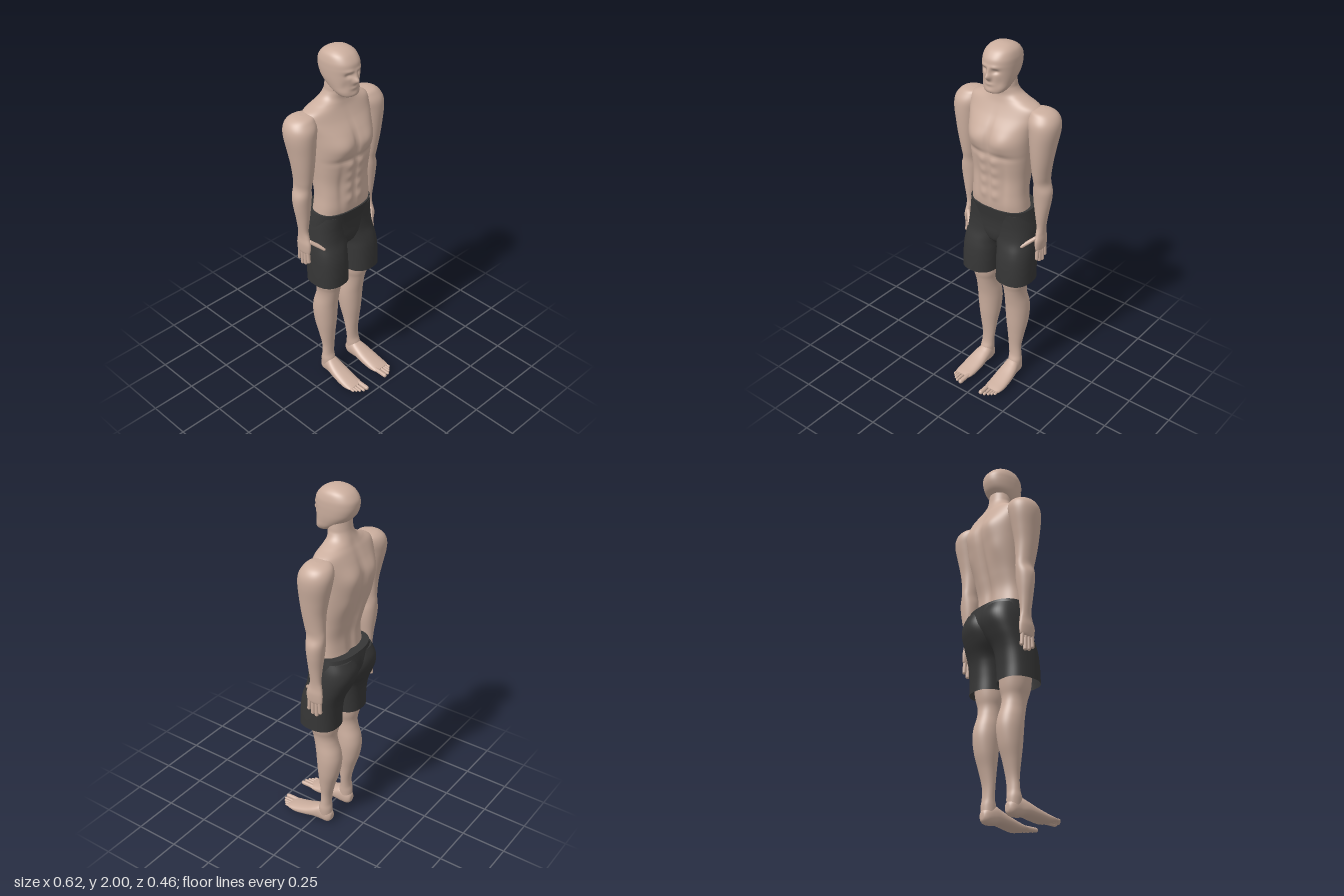
import * as THREE from 'three';

const skin = new THREE.MeshStandardMaterial({ color: 0xcbae9e });
skin.name = 'skin';
const cloth = new THREE.MeshStandardMaterial({ color: 0x363636, side: THREE.DoubleSide });
cloth.name = 'dark cloth';

const bump = (x, y, cx, cy, rx, ry) => Math.exp(-(((x - cx) / rx) ** 2) - ((y - cy) / ry) ** 2);

// smooth (Catmull-Rom) sample of a table of rows
function sample(rows, t) {
  const n = rows.length - 1, i = Math.min(Math.floor(t * n), n - 1), f = t * n - i;
  const [a, b, c, d] = [i - 1, i, i + 1, i + 2].map((k) => rows[Math.max(0, Math.min(n, k))]);
  return b.map((_, k) => b[k] + 0.5 * f * (c[k] - a[k]
    + f * (2 * a[k] - 5 * b[k] + 4 * c[k] - d[k] + f * (3 * (b[k] - c[k]) + d[k] - a[k]))));
}

// closed cross-sections stacked upward; row = [y, xMin, xMax, zFront, zBack, power]
function loft(rows, { seg = 48, steps = 6, caps = [true, true], shape } = {}) {
  const pos = [], idx = [], n = (rows.length - 1) * steps;
  for (let j = 0; j <= n; j++) {
    const [y, x0, x1, zf, zb, p] = sample(rows, j / n);
    for (let i = 0; i < seg; i++) {
      const t = (i / seg) * Math.PI * 2, s = Math.sin(t), c = Math.cos(t);
      const x = (x0 + x1) / 2 + ((x1 - x0) / 2) * Math.sign(s) * Math.abs(s) ** (2 / p);
      const z = (zf + zb) / 2 + ((zf - zb) / 2) * Math.sign(c) * Math.abs(c) ** (2 / p);
      pos.push(x, y, z + (shape ? shape(x, y, c) : 0));
      if (j < n) {
        const a = j * seg + i, b = j * seg + ((i + 1) % seg);
        idx.push(a, b, b + seg, a, b + seg, a + seg);
      }
    }
  }
  // end caps keep their own corners so their rims stay sharp
  [0, n].forEach((j, e) => {
    if (!caps[e]) return;
    const base = pos.length / 3, r = rows[e ? rows.length - 1 : 0];
    pos.push(...pos.slice(j * seg * 3, (j + 1) * seg * 3));
    pos.push((r[1] + r[2]) / 2, r[0], (r[3] + r[4]) / 2);
    for (let i = 0; i < seg; i++) {
      const a = base + i, b = base + ((i + 1) % seg);
      idx.push(base + seg, e ? a : b, e ? b : a);
    }
  });
  const g = new THREE.BufferGeometry();
  g.setAttribute('position', new THREE.Float32BufferAttribute(pos, 3));
  g.setIndex(idx);
  g.computeVertexNormals();
  return g;
}

// [y, halfWidth, zFront, zBack, power] -> symmetric row
const centred = (rows) => rows.map(([y, h, f, b, p]) => [y, -h, h, f, b, p]);
// [y, xInner, xOuter, zFront, zBack] -> row on the chosen side
const sided = (rows, s, p = 2.1) => rows.map(([y, a, b, f, k]) => (s > 0 ? [y, a, b, f, k, p] : [y, -b, -a, f, k, p]));

function mesh(name, geometry, material = skin) {
  const m = new THREE.Mesh(geometry, material);
  m.name = name;
  return m;
}

// rounded finger or toe between two points
function digit(name, a, b, r, s) {
  const p = new THREE.Vector3(a[0] * s, a[1], a[2]), q = new THREE.Vector3(b[0] * s, b[1], b[2]);
  const d = q.clone().sub(p), m = mesh(name, new THREE.CapsuleGeometry(r, d.length() - r, 6, 14));
  m.position.copy(p).add(q).multiplyScalar(0.5);
  m.quaternion.setFromUnitVectors(new THREE.Vector3(0, 1, 0), d.normalize());
  return m;
}

const TORSO = centred([
  [1.08, 0.168, 0.036, -0.16, 2.5], [1.15, 0.162, 0.046, -0.15, 2.5], [1.22, 0.156, 0.046, -0.15, 2.5],
  [1.3, 0.158, 0.046, -0.17, 2.5], [1.38, 0.167, 0.056, -0.193, 2.5], [1.46, 0.176, 0.066, -0.212, 2.5],
  [1.52, 0.182, 0.066, -0.22, 2.5], [1.58, 0.19, 0.047, -0.217, 2.5], [1.64, 0.205, 0.012, -0.195, 2.4],
  [1.685, 0.2, -0.01, -0.175, 2.3], [1.715, 0.14, -0.02, -0.16, 2.2], [1.74, 0.092, -0.024, -0.15, 2.1],
  [1.77, 0.071, -0.02, -0.14, 2], [1.8, 0.066, -0.02, -0.135, 2], [1.86, 0.06, -0.03, -0.13, 2],
]);

// chest, stomach, spine and shoulder-blade relief
function torsoRelief(x, y, c) {
  const ax = Math.abs(x);
  if (c > 0) {
    let d = 0.016 * bump(ax, y, 0.08, 1.515, 0.06, 0.055) - 0.008 * bump(ax, y, 0.07, 1.435, 0.08, 0.018);
    d -= 0.009 * bump(x, y, 0, 1.5, 0.014, 0.1) + 0.006 * bump(x, y, 0, 1.28, 0.01, 0.14);
    for (const ay of [1.2, 1.27, 1.335, 1.4]) d += 0.008 * bump(ax, y, 0.034, ay, 0.024, 0.026);
    d -= 0.006 * bump(ax, y, 0.085, 1.28, 0.018, 0.14);
    return d * Math.min(1, c * 3);
  }
  let d = 0.016 * bump(x, y, 0, 1.36, 0.025, 0.26) - 0.014 * bump(ax, y, 0.09, 1.56, 0.055, 0.07);
  d -= 0.007 * bump(ax, y, 0.045, 1.25, 0.03, 0.12) + 0.007 * bump(ax, y, 0.11, 1.43, 0.04, 0.06);
  return d * Math.min(1, -c * 3);
}

const HEAD = centred([
  [1.764, 0.028, 0.032, -0.02, 2.2], [1.77, 0.05, 0.043, -0.04, 2.3], [1.79, 0.066, 0.046, -0.075, 2.3],
  [1.82, 0.075, 0.046, -0.12, 2.3], [1.85, 0.081, 0.047, -0.152, 2.3], [1.88, 0.084, 0.048, -0.168, 2.3],
  [1.91, 0.085, 0.049, -0.174, 2.3], [1.94, 0.083, 0.044, -0.17, 2.3], [1.97, 0.073, 0.022, -0.148, 2.3],
  [1.988, 0.054, -0.005, -0.118, 2.2], [1.997, 0.03, -0.033, -0.085, 2], [2, 0.003, -0.056, -0.062, 2],
]);

// nose, brow, eye sockets, lips and chin
function faceRelief(x, y, c) {
  if (c <= 0) return 0;
  const ax = Math.abs(x);
  let d = 0.026 * bump(x, y, 0, 1.853, 0.013, 0.017) + 0.012 * bump(x, y, 0, 1.88, 0.01, 0.02);
  d -= 0.012 * bump(ax, y, 0.032, 1.882, 0.017, 0.012);
  d += 0.005 * bump(ax, y, 0.03, 1.905, 0.025, 0.01) + 0.005 * bump(x, y, 0, 1.814, 0.022, 0.009);
  d += 0.005 * bump(x, y, 0, 1.78, 0.025, 0.014) - 0.004 * bump(ax, y, 0.05, 1.825, 0.015, 0.025);
  return d * Math.min(1, c * 2);
}

const ARM = [
  [0.893, 0.226, 0.244, -0.055, -0.125], [0.905, 0.221, 0.25, -0.043, -0.135], [0.95, 0.215, 0.254, -0.04, -0.136],
  [0.99, 0.212, 0.252, -0.053, -0.13], [1.03, 0.21, 0.255, -0.062, -0.125], [1.1, 0.2, 0.266, -0.056, -0.13],
  [1.18, 0.188, 0.28, -0.05, -0.14], [1.24, 0.185, 0.283, -0.045, -0.146], [1.29, 0.189, 0.268, -0.042, -0.148],
  [1.34, 0.185, 0.272, -0.032, -0.146], [1.42, 0.178, 0.285, -0.02, -0.15], [1.5, 0.17, 0.298, -0.012, -0.165],
  [1.58, 0.16, 0.311, -0.008, -0.182], [1.63, 0.15, 0.31, -0.012, -0.186], [1.665, 0.15, 0.293, -0.03, -0.175],
  [1.685, 0.16, 0.264, -0.05, -0.15], [1.692, 0.19, 0.23, -0.085, -0.115],
];

const LEG = [
  [0.05, 0.064, 0.134, -0.02, -0.098], [0.1, 0.062, 0.138, -0.022, -0.098], [0.14, 0.061, 0.134, -0.034, -0.092],
  [0.2, 0.055, 0.132, -0.035, -0.095], [0.28, 0.047, 0.143, -0.028, -0.115], [0.36, 0.036, 0.155, -0.02, -0.14],
  [0.44, 0.03, 0.161, -0.014, -0.152], [0.5, 0.031, 0.16, -0.008, -0.146], [0.56, 0.036, 0.155, 0.003, -0.128],
  [0.61, 0.035, 0.158, 0.014, -0.122], [0.68, 0.023, 0.175, 0.03, -0.135], [0.85, 0.025, 0.19, 0.035, -0.15],
];

// runs heel to toe: [z, xInner, xOuter, -yBottom, -yTop]
const FOOT = [
  [-0.104, 0.092, 0.102, -0.045, -0.055], [-0.1, 0.077, 0.118, -0.024, -0.073], [-0.08, 0.065, 0.132, -0.009, -0.094],
  [-0.04, 0.058, 0.138, -0.009, -0.11], [0, 0.055, 0.148, -0.016, -0.094], [0.05, 0.052, 0.155, -0.01, -0.072],
  [0.11, 0.053, 0.158, -0.003, -0.052], [0.15, 0.056, 0.156, -0.009, -0.041], [0.172, 0.062, 0.15, -0.017, -0.034],
];

const SHORT_LEG = [
  [0.69, 0.012, 0.213, 0.068, -0.15], [0.76, 0.011, 0.212, 0.066, -0.151], [0.83, 0.009, 0.21, 0.06, -0.158],
  [0.88, 0.004, 0.207, 0.05, -0.172], [0.94, -0.02, 0.202, 0.034, -0.2], [1, -0.03, 0.197, 0.03, -0.222],
  [1.05, -0.03, 0.19, 0.032, -0.222], [1.1, -0.02, 0.178, 0.036, -0.2],
];

const PELVIS = centred([
  [0.885, 0.035, 0.0, -0.1, 2], [0.91, 0.09, 0.02, -0.14, 2.1], [0.95, 0.16, 0.03, -0.18, 2.3],
  [1, 0.192, 0.032, -0.208, 2.5], [1.05, 0.19, 0.037, -0.212, 2.5], [1.12, 0.18, 0.051, -0.198, 2.5],
]);

const TOES = [[0.073, 0.233, 0.0125], [0.098, 0.229, 0.008], [0.116, 0.217, 0.0075], [0.13, 0.204, 0.007], [0.144, 0.192, 0.007]];
const FINGERS = [[-0.053, 0.838], [-0.077, 0.82], [-0.101, 0.815], [-0.124, 0.835]];

export function createModel() {
  const model = new THREE.Group();
  model.name = 'standingMan';
  model.add(
    mesh('torsoAndNeck', loft(TORSO, { seg: 128, steps: 8, shape: torsoRelief })),
    mesh('head', loft(HEAD, { seg: 112, steps: 8, shape: faceRelief })),
    mesh('shortsHips', loft(PELVIS, {
      seg: 80,
      shape: (x, y, c) => (c < 0 ? 0.014 * bump(x, y, 0, 0.98, 0.02, 0.07) : 0),
    }), cloth),
  );
  for (const s of [1, -1]) {
    const side = s > 0 ? 'left' : 'right';
    model.add(
      mesh(side + 'Arm', loft(sided(ARM, s))),
      mesh(side + 'Leg', loft(sided(LEG, s))),
      mesh(side + 'Foot', loft(sided(FOOT, s, 2.3)).rotateX(Math.PI / 2)),
      mesh(side + 'ShortsLeg', loft(sided(SHORT_LEG, s, 2.4), { caps: [false, true] }), cloth),
      digit(side + 'Thumb', [0.226, 0.97, -0.055], [0.17, 0.922, 0.003], 0.0105, s),
    );
    for (const [z, tip] of FINGERS) {
      model.add(digit(side + 'Finger', [0.236, 0.93, z * 0.8 - 0.018], [0.236, tip + 0.004, z], 0.0105, s));
    }
    for (const [x, tip, r] of TOES) {
      model.add(digit(side + 'Toe', [x, 0.026, 0.14], [x, 0.025, tip - r / 2], r, s));
    }
  }
  return model;
}
